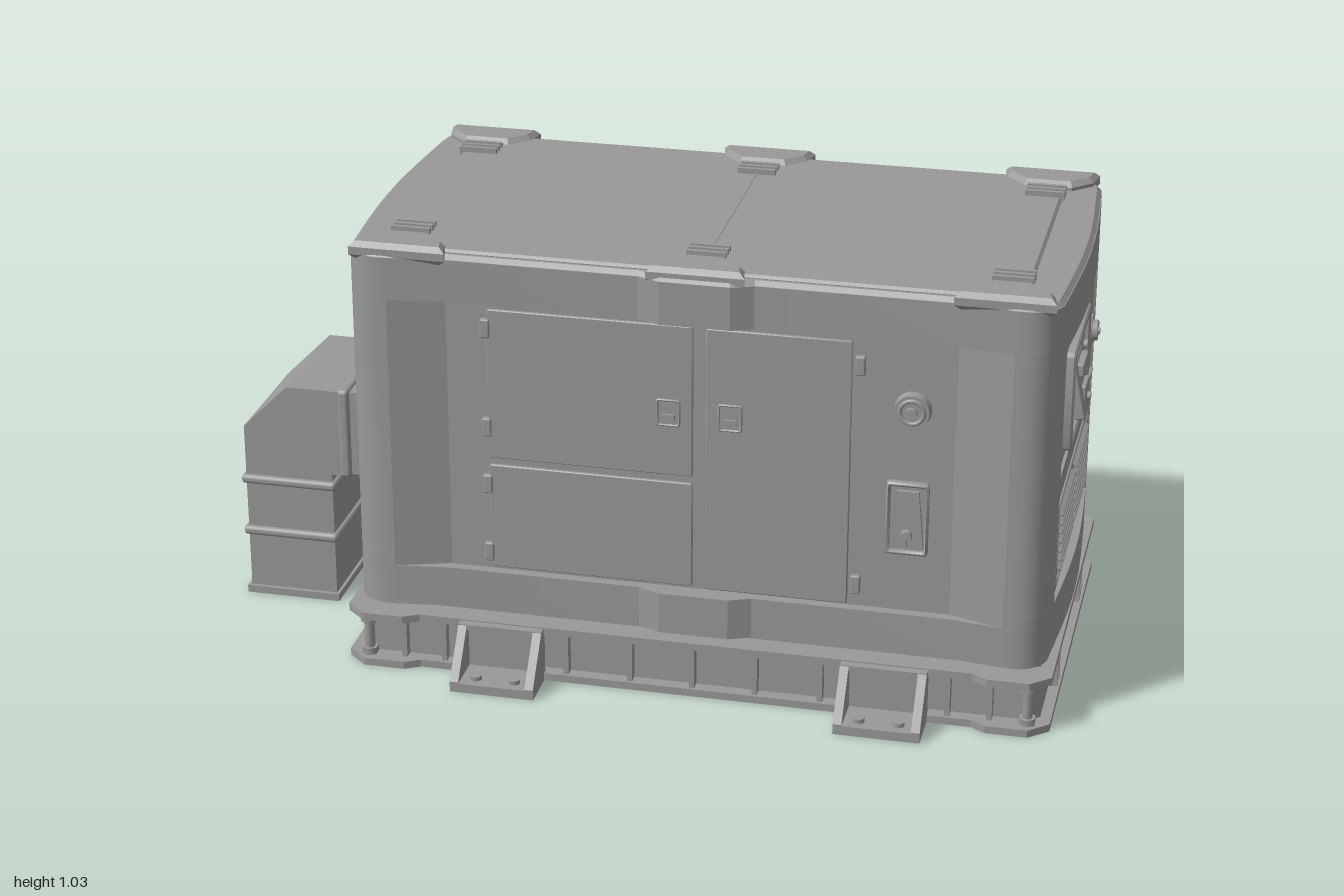
import * as THREE from 'three';
import { toCreasedNormals } from 'three/addons/utils/BufferGeometryUtils.js';
import { RoundedBoxGeometry } from 'three/addons/geometries/RoundedBoxGeometry.js';

const CX = 0.165; // centre of the cabinet along x
const FLOOR = 0.795; // half length at the recessed end panels
const mat = new THREE.MeshStandardMaterial({ color: 0x999999 });

function add(parent, name, geo, x = 0, y = 0, z = 0) {
  const m = new THREE.Mesh(geo, mat);
  m.name = name;
  m.position.set(x, y, z);
  parent.add(m);
  return m;
}
const box = (p, name, w, h, d, x, y, z) => add(p, name, new THREE.BoxGeometry(w, h, d), x, y, z);
const soft = (p, name, w, h, d, x, y, z, r = 0.008) =>
  add(p, name, new RoundedBoxGeometry(w, h, d, 2, r), x, y, z);
function disc(p, name, r, d, x, y, z) {
  return add(p, name, new THREE.CylinderGeometry(r * 0.92, r, d, 24).rotateX(Math.PI / 2), x, y, z);
}
function group(parent, name, x = 0, y = 0, z = 0, ry = 0) {
  const g = new THREE.Group();
  g.name = name;
  g.position.set(x, y, z);
  g.rotation.y = ry;
  parent.add(g);
  return g;
}
const poly = pts => new THREE.Shape(pts.map(p => new THREE.Vector2(...p)));
const rect = (a, b) => poly([[-a, -b], [a, -b], [a, b], [-a, b]]);

function roundRect(w, h, r) {
  const x = w / 2, y = h / 2, s = new THREE.Shape();
  s.moveTo(-x + r, -y).lineTo(x - r, -y).absarc(x - r, -y + r, r, -Math.PI / 2, 0);
  s.absarc(x - r, y - r, r, 0, Math.PI / 2).absarc(-x + r, y - r, r, Math.PI / 2, Math.PI);
  s.absarc(-x + r, -y + r, r, Math.PI, Math.PI * 1.5);
  return s;
}
// Mirror a quarter outline (running from the z axis to the x axis) into a full plan
function plan(quarter, hole) {
  const flip = (a, b) => quarter.map(([x, z]) => [x * a, z * b]);
  const s = poly([...flip(1, 1), ...flip(1, -1).reverse(), ...flip(-1, -1), ...flip(-1, 1).reverse()].reverse());
  if (hole) s.holes.push(rect(...hole));
  return s;
}
// Extrude a plan upwards between two heights
function upright(shape, y0, y1, bevel) {
  const opts = bevel
    ? { bevelThickness: bevel, bevelSize: bevel, bevelOffset: -bevel, bevelSegments: 1 }
    : { bevelEnabled: false };
  const g = new THREE.ExtrudeGeometry(shape, { depth: y1 - y0, ...opts });
  return toCreasedNormals(g.rotateX(-Math.PI / 2).translate(0, y0, 0), 0.25);
}
// Bevelled rounded frame or plate facing +z
function plate(w, h, r, d, hole, bevel = 0.004) {
  const s = roundRect(w, h, r);
  if (hole) s.holes.push(roundRect(...hole));
  const g = new THREE.ExtrudeGeometry(s, { depth: d - bevel, bevelThickness: bevel, bevelSize: bevel, bevelOffset: -bevel, bevelSegments: 1, curveSegments: 5 });
  return toCreasedNormals(g, 0.5);
}
// Cabinet outline: rounded posts, recessed sides, centre bump, and ends that bow out or are cut flat
function cabinetQuarter(mid, bump, flatEnd) {
  const pts = [[0.08, bump], [0.13, mid], [0.575, mid], [0.70, 0.42]];
  const r = 0.07;
  for (let i = 0; i <= 8; i++) {
    const a = Math.PI / 2 * (1 - i / 8);
    pts.push([0.797 - r + r * Math.cos(a), 0.42 - r + r * Math.sin(a)]);
  }
  pts.push([0.80, 0.31]);
  return pts.concat(flatEnd ? [[FLOOR, 0.308]] : [[0.808, 0.2], [0.813, 0.11], [0.815, 0.04]]);
}

function buildCabinet(root) {
  const g = group(root, 'cabinet', CX);
  const band = cabinetQuarter(0.403, 0.424), bowed = cabinetQuarter(0.38, 0.38);
  const hole = [0.78, 0.365];
  add(g, 'lowerBand', upright(plan(band, hole), 0.147, 0.245));
  add(g, 'lowerWall', upright(plan(bowed, hole), 0.245, 0.265));
  add(g, 'walls', upright(plan(cabinetQuarter(0.38, 0.38, true), hole), 0.265, 0.875));
  add(g, 'upperWall', upright(plan(bowed, hole), 0.875, 0.9));
  add(g, 'upperBand', upright(plan(band, hole), 0.9, 1.0));
  add(g, 'roof', upright(plan(band), 0.985, 0.998, 0.012));
  add(g, 'roofPanel', upright(rect(0.715, 0.385), 1.0, 1.012, 0.006));
  box(g, 'roofSeam', 0.005, 0.003, 0.75, 0, 1.0185, 0);
  // Clamps on the roof edges
  for (const x of [-0.675, 0, 0.675]) for (const s of [-1, 1]) {
    const l = group(g, 'roofClamp', x, 0, 0, s > 0 ? 0 : Math.PI);
    const outline = poly([[-0.11, -0.415], [0.11, -0.415], [0.1, -0.365], [0.055, -0.32], [-0.055, -0.32], [-0.1, -0.365]]);
    add(l, 'clampPlate', upright(outline, 1.0, 1.018, 0.012));
    box(l, 'clampTongue', 0.085, 0.02, 0.09, 0, 1.011, 0.293);
    for (let i = 0; i < 3; i++) box(l, 'clampRib', 0.09, 0.03, 0.01, 0, 1.016, 0.253 + i * 0.022);
  }
}

function buildFront(root) {
  const g = group(root, 'frontSide', 0, 0, 0.38);
  const doors = [[-0.08, 0.705, 0.47, 0.36], [-0.08, 0.38, 0.47, 0.255], [0.347, 0.567, 0.325, 0.635]];
  for (const [x, y, w, h] of doors) add(g, 'door', plate(w, h, 0.006, 0.008, null, 0.002), x, y, 0);
  for (const [x, y] of [[-0.318, 0.84], [-0.318, 0.6], [-0.318, 0.46], [-0.318, 0.29], [0.528, 0.83], [0.528, 0.3]])
    soft(g, 'hinge', 0.022, 0.045, 0.016, x, y, 0.006, 0.004);
  for (const x of [0.1, 0.24]) {
    add(g, 'latchFrame', plate(0.055, 0.065, 0.006, 0.006, [0.045, 0.055, 0.004], 0.002), x, 0.677, 0.007);
    box(g, 'latchHandle', 0.03, 0.012, 0.008, x, 0.667, 0.01);
  }
  // Filler cap and lock plate
  disc(g, 'fillerCap', 0.042, 0.02, 0.645, 0.735, 0.01);
  add(g, 'fillerRing', new THREE.TorusGeometry(0.027, 0.005, 8, 24), 0.645, 0.735, 0.02);
  disc(g, 'fillerKnob', 0.013, 0.012, 0.645, 0.735, 0.024);
  add(g, 'lockFrame', plate(0.095, 0.175, 0.006, 0.016, [0.078, 0.155, 0.004]), 0.64, 0.475, 0);
  const wedge = poly([[-0.025, 0.07], [-0.038, -0.07], [0.038, -0.07], [0.025, 0.07]]);
  add(g, 'lockPlate', new THREE.ExtrudeGeometry(wedge, { depth: 0.01, bevelEnabled: false }), 0.64, 0.47, 0);
  disc(g, 'lockBarrel', 0.014, 0.016, 0.64, 0.435, 0.016);
  box(g, 'lockSlot', 0.005, 0.025, 0.012, 0.64, 0.425, 0.02);
}

function buildBack(root) {
  const g = group(root, 'backSide', CX, 0, -0.38, Math.PI);
  for (const x of [-0.47, -0.215, 0.215, 0.47])
    add(g, 'pressedRib', plate(0.155, 0.55, 0.02, 0.02, null, 0.018), x, 0.585, 0);
  // Socket plate, hanging box and its two cables
  add(g, 'socketPlate', plate(0.25, 0.11, 0.008, 0.018), 0.005, 0.745, 0);
  for (const x of [-0.085, 0.09]) {
    disc(g, 'socket', 0.033, 0.02, x, 0.745, 0.02);
    disc(g, 'socketCore', 0.018, 0.01, x, 0.745, 0.03);
  }
  soft(g, 'hangingBox', 0.215, 0.245, 0.05, 0, 0.425, 0.062, 0.016);
  soft(g, 'hangingBoxBack', 0.19, 0.225, 0.045, 0, 0.425, 0.02, 0.01);
  add(g, 'hangingBoxScreen', plate(0.09, 0.075, 0.006, 0.014, [0.068, 0.053, 0.004]), 0, 0.49, 0.083);
  box(g, 'hangingBoxGlass', 0.068, 0.053, 0.006, 0, 0.49, 0.088);
  for (const s of [-1, 1]) {
    const path = new THREE.CatmullRomCurve3([[0.06, 0.54, 0.048], [0.06, 0.58, 0.05], [0.06, 0.655, 0.068], [0.042, 0.72, 0.068], [0.042, 0.79, 0.068], [0.06, 0.845, 0.035], [0.06, 0.885, 0.01]]
      .map(([x, y, z]) => new THREE.Vector3(s * x, y, z)), false, 'catmullrom', 0.05);
    add(g, 'cable', new THREE.TubeGeometry(path, 48, 0.012, 8));
    add(g, 'cableGland', new THREE.CylinderGeometry(0.016, 0.019, 0.03, 12), s * 0.06, 0.557, 0.05);
  }
}

function buildControlEnd(root) {
  const g = group(root, 'controlEnd', CX + FLOOR, 0, 0, Math.PI / 2);
  box(g, 'dividingRail', 0.62, 0.007, 0.01, 0, 0.577, 0.002);
  // Instrument window
  add(g, 'windowFrame', plate(0.32, 0.237, 0.018, 0.02, [0.28, 0.198, 0.012]), -0.0975, 0.727, 0);
  add(g, 'meterPanel', plate(0.155, 0.165, 0.006, 0.012), -0.135, 0.727, 0);
  soft(g, 'meter', 0.12, 0.135, 0.025, -0.138, 0.73, 0.016, 0.005).rotation.x = -0.2;
  soft(g, 'display', 0.085, 0.03, 0.02, -0.138, 0.775, 0.022, 0.004);
  soft(g, 'keySwitchPlate', 0.068, 0.065, 0.02, -0.138, 0.703, 0.028, 0.004);
  disc(g, 'keySwitch', 0.01, 0.014, -0.138, 0.7, 0.039);
  add(g, 'buttonStrip', plate(0.042, 0.15, 0.02, 0.012), -0.007, 0.723, 0);
  for (const y of [0.678, 0.723, 0.768]) disc(g, 'button', 0.011, 0.012, -0.007, y, 0.015);
  // Emergency stop
  disc(g, 'stopBase', 0.04, 0.014, 0.174, 0.73, 0.007);
  disc(g, 'stopButton', 0.026, 0.022, 0.174, 0.73, 0.015);
  disc(g, 'stopCentre', 0.009, 0.008, 0.174, 0.73, 0.027);
  // Louvred vent
  add(g, 'ventFrame', plate(0.57, 0.205, 0.004, 0.005, [0.56, 0.195, 0.003], 0.002), 0, 0.392, 0);
  for (const x of [-0.135, 0.133]) for (let i = 0; i < 7; i++)
    soft(g, 'louvre', 0.237, 0.008, 0.018, x, 0.323 + i * 0.0225, 0.003, 0.003).rotation.x = 0.5;
}

function buildDuctEnd(root) {
  const g = group(root, 'ductEnd', CX - FLOOR, 0, 0, -Math.PI / 2);
  add(g, 'outletPanel', plate(0.19, 0.25, 0.012, 0.009), -0.15, 0.71, 0);
  for (const x of [-0.195, -0.105]) for (const y of [0.64, 0.71, 0.78]) {
    disc(g, 'outlet', 0.028, 0.008, x, y, 0.011);
    disc(g, 'outletCore', 0.015, 0.006, x, y, 0.015);
  }
  add(g, 'hatchFrame', plate(0.29, 0.16, 0.012, 0.016, [0.25, 0.12, 0.008]), 0.125, 0.725, 0);
  add(g, 'hatch', plate(0.23, 0.1, 0.006, 0.007), 0.125, 0.725, 0);
  add(g, 'ductFrame', plate(0.42, 0.31, 0.01, 0.014), -0.01, 0.437, 0);

  // Exhaust duct with an elbow pointing at the ground
  const d = group(root, 'exhaustDuct', 0, 0, -0.01);
  box(d, 'neck', 0.13, 0.21, 0.31, -0.695, 0.437, 0);
  soft(d, 'neckCollar', 0.028, 0.225, 0.335, -0.737, 0.437, 0, 0.01);
  const side = poly([[-0.985, 0.012], [-0.77, 0.012], [-0.77, 0.33], [-0.745, 0.33], [-0.745, 0.545], [-0.875, 0.545], [-0.985, 0.435]]);
  add(d, 'elbow', new THREE.ExtrudeGeometry(side, { depth: 0.33, bevelEnabled: false }), 0, 0, -0.165);
  for (const y of [0.165, 0.3]) soft(d, 'ductCollar', 0.235, 0.022, 0.355, -0.8775, y, 0, 0.009);
  const rim = rect(0.115, 0.175);
  rim.holes.push(rect(0.1, 0.16));
  add(d, 'outletRim', upright(rim, 0, 0.018), -0.8775);
}

function buildBase(root) {
  const g = group(root, 'baseFrame', CX);
  const flange = plan([[0.64, 0.44], [0.675, 0.46], [0.77, 0.46], [0.815, 0.42]], [0.765, 0.385]);
  add(g, 'bottomFlange', upright(flange, 0, 0.018));
  add(g, 'topFlange', upright(flange, 0.117, 0.135));
  add(g, 'web', upright(plan([[0.77, 0.41], [0.79, 0.39]], [0.768, 0.388]), 0.015, 0.12));
  add(g, 'cabinetSeat', upright(plan([[0.785, 0.375]], [0.77, 0.362]), 0.13, 0.15));
  for (const s of [-1, 1]) {
    for (const x of [-0.68, -0.585, -0.295, -0.145, 0, 0.145, 0.295, 0.585, 0.68])
      box(g, 'sideStiffener', 0.012, 0.105, 0.03, x, 0.067, s * 0.418);
    for (const z of [-0.235, -0.2, 0.2, 0.235]) box(g, 'endStiffener', 0.025, 0.105, 0.012, s * 0.797, 0.067, z);
    for (const x of [-0.765, 0.765]) {
      add(g, 'cornerBolt', new THREE.CylinderGeometry(0.012, 0.012, 0.105, 10), x, 0.067, s * 0.428);
      for (const y of [0.027, 0.108]) add(g, 'cornerNut', new THREE.CylinderGeometry(0.02, 0.02, 0.016, 6), x, y, s * 0.428);
    }
    // Anchor brackets with gussets and bolts
    for (const x of [-0.443, 0.443]) {
      const f = group(g, 'anchorBracket', x, 0, 0, s > 0 ? 0 : Math.PI);
      box(f, 'footPlate', 0.195, 0.022, 0.12, 0, 0.011, 0.48);
      box(f, 'backPlate', 0.195, 0.11, 0.012, 0, 0.065, 0.438);
      box(f, 'topLip', 0.195, 0.014, 0.025, 0, 0.125, 0.447);
      const gusset = poly([[-0.43, 0], [-0.43, 0.132], [-0.458, 0.132], [-0.54, 0.025], [-0.54, 0]]);
      for (const e of [-0.088, 0.088]) {
        const geo = new THREE.ExtrudeGeometry(gusset, { depth: 0.02, bevelEnabled: false });
        add(f, 'gusset', geo.translate(0, 0, -0.01).rotateY(Math.PI / 2), e);
      }
      for (const e of [-0.045, 0.045]) add(f, 'anchorBolt', new THREE.CylinderGeometry(0.014, 0.014, 0.012, 12), e, 0.026, 0.507);
    }
  }
}

export function createModel() {
  const root = new THREE.Group();
  root.name = 'generator';
  for (const build of [buildCabinet, buildFront, buildBack, buildControlEnd, buildDuctEnd, buildBase]) build(root);
  return root;
}
